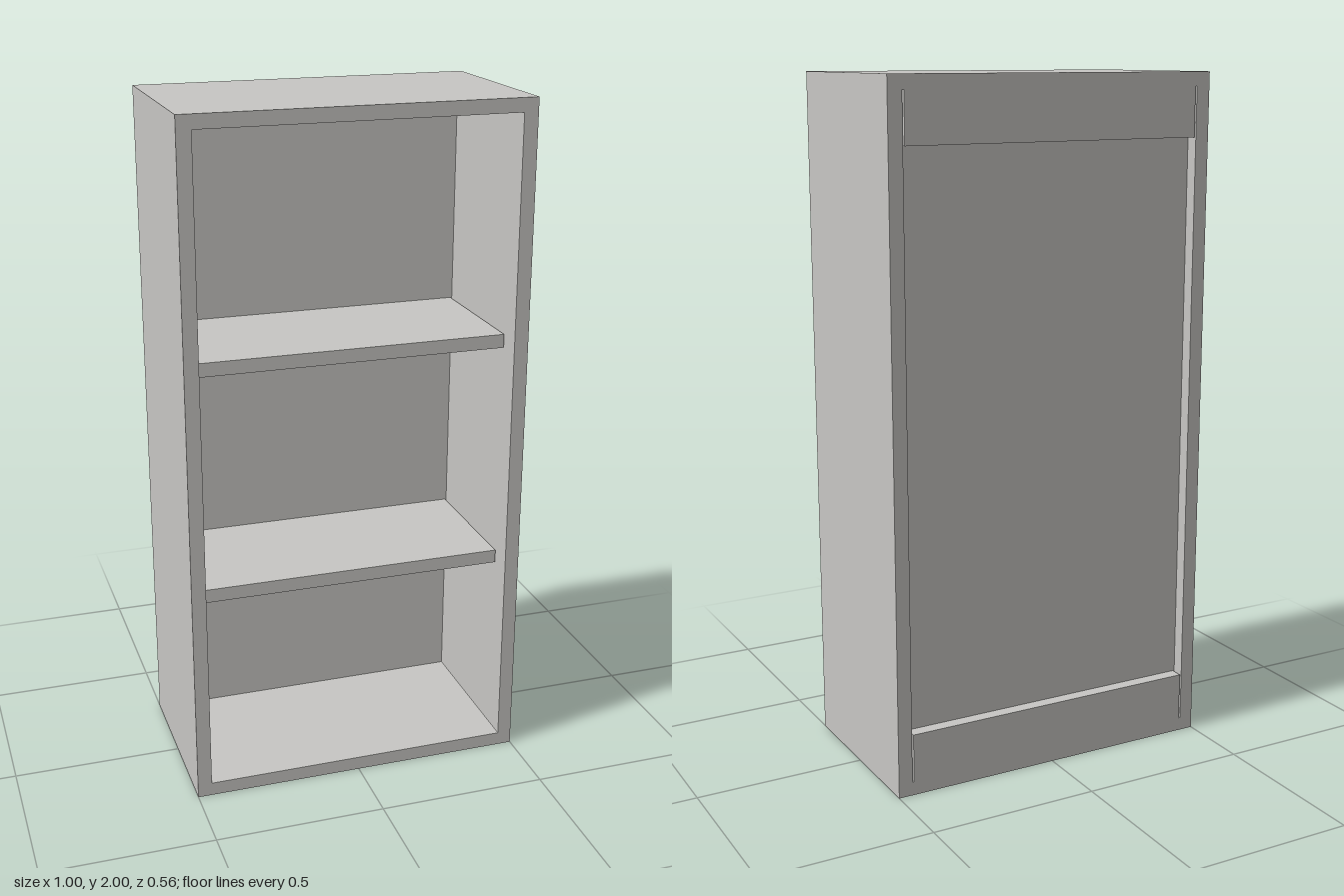
import * as THREE from 'three';

const W = 1, H = 2, D = 0.555, T = 0.04;   // overall size and board thickness
const INNER = 0.458;                       // half width of the opening

export function createModel() {
  const group = new THREE.Group();
  group.name = 'bookcase';
  const board = new THREE.MeshStandardMaterial({ color: 0xc8c7c4 });
  board.name = 'pale grey board';

  const add = (name, geometry) => {
    const mesh = new THREE.Mesh(geometry, board);
    mesh.name = name;
    group.add(mesh);
    return mesh;
  };
  // Box given by its width, its y range and its z range
  const addBoard = (name, width, y0, y1, z0, z1) =>
    add(name, new THREE.BoxGeometry(width, y1 - y0, z1 - z0))
      .position.set(0, (y0 + y1) / 2, (z0 + z1) / 2);

  // Outer case: sides, top and bottom as one open frame
  const rect = (Type, x, y0, y1) => new Type([
    new THREE.Vector2(-x, y0), new THREE.Vector2(x, y0),
    new THREE.Vector2(x, y1), new THREE.Vector2(-x, y1),
  ]);
  const frame = rect(THREE.Shape, W / 2, 0, H);
  frame.holes.push(rect(THREE.Path, INNER, T, H - T));
  const caseGeometry = new THREE.ExtrudeGeometry(frame, { depth: D, bevelEnabled: false });
  add('case', caseGeometry.translate(0, 0, -D / 2));

  // Back panel, set in behind the shelves
  const back = -D / 2, panelBack = back + 0.038, panelFront = panelBack + T;
  addBoard('backPanel', 2 * INNER, T, H - T, panelBack, panelFront);

  // Rails flush with the rear edge, with a hairline gap at each end
  const railHeight = 0.143, railWidth = 2 * INNER - 0.01;
  addBoard('topRail', railWidth, H - T - railHeight, H - T, back, panelBack);
  addBoard('bottomRail', railWidth, T, T + railHeight, back, panelBack);

  // Two loose shelves, set back from the front edge
  for (const [name, y] of [['lowerShelf', 0.6], ['upperShelf', 1.28]]) {
    addBoard(name, railWidth, y, y + T, panelFront, D / 2 - 0.063);
  }

  return group;
}
